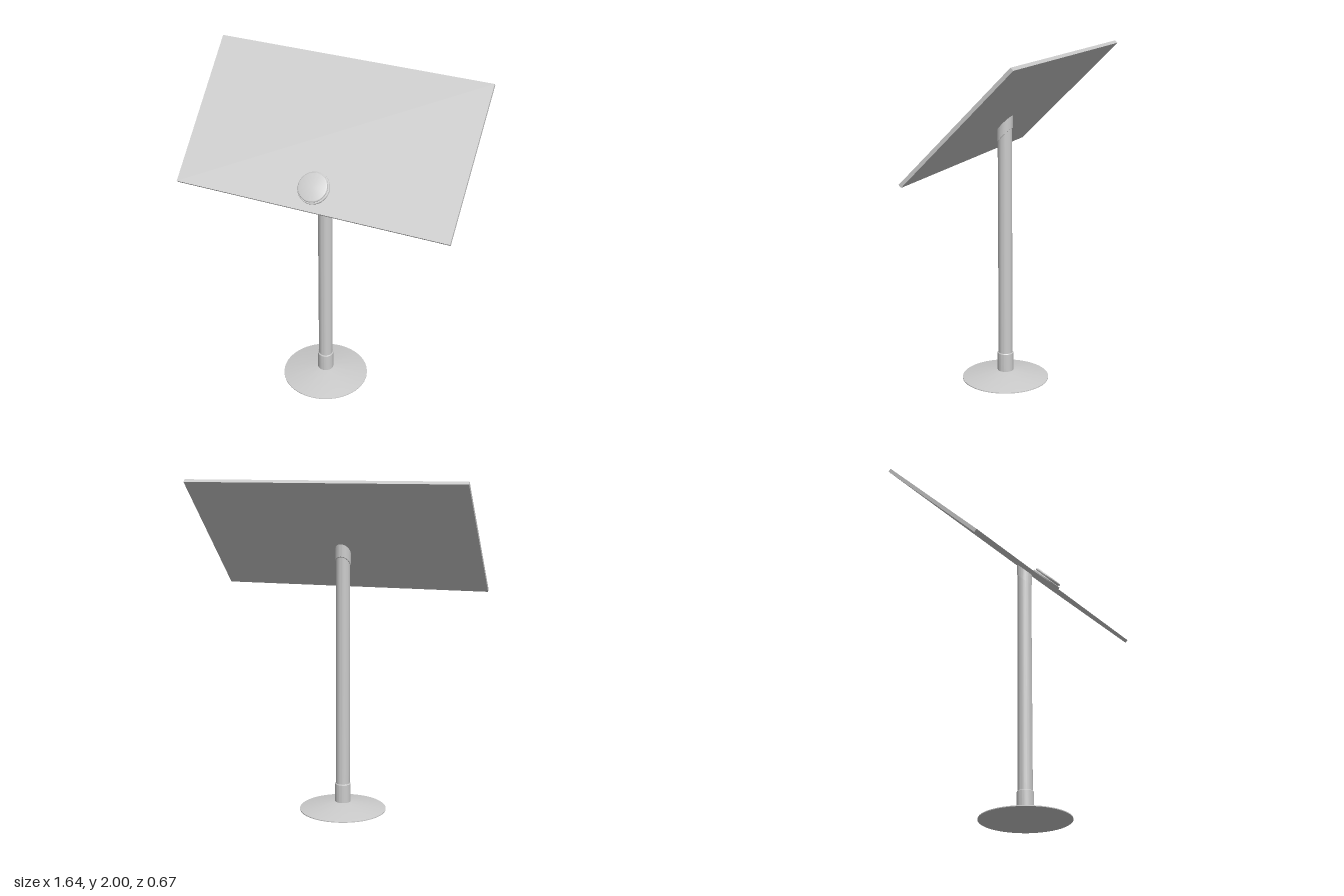
import * as THREE from 'three';
import { toCreasedNormals } from 'three/addons/utils/BufferGeometryUtils.js';

const POLE_Z = 0.072;
const SEGMENTS = 48;

export function createModel() {
  const model = new THREE.Group();
  const material = new THREE.MeshStandardMaterial({ color: 0xcccccc });

  function add(name, geometry, x, y, z, parent = model) {
    const mesh = new THREE.Mesh(geometry, material);
    mesh.name = name;
    mesh.position.set(x, y, z);
    parent.add(mesh);
    return mesh;
  }

  // Turned part from [radius, height] points, listed bottom to top
  function turned(points) {
    const profile = points.map(([r, y]) => new THREE.Vector2(r, y));
    return toCreasedNormals(new THREE.LatheGeometry(profile, SEGMENTS), 0.5);
  }

  // Shallow conical foot with a slightly dished underside
  add('base', turned([
    [0, 0], [0.1, 0.001], [0.175, 0.004], [0.262, 0.012], [0.262, 0.017], [0.05, 0.06], [0, 0.06],
  ]), 0, 0, POLE_Z);

  // Sleeve holding the pole
  add('baseSleeve', turned([
    [0, 0.05], [0.048, 0.05], [0.048, 0.171], [0.045, 0.175], [0, 0.175],
  ]), 0, 0, POLE_Z);

  // Pole and collar ends are sheared to match the 45 degree board
  const pole = new THREE.CylinderGeometry(0.042, 0.042, 1.46, SEGMENTS);
  const collar = new THREE.CylinderGeometry(0.046, 0.046, 0.076, SEGMENTS);
  const shear = (geometry, fromY) => {
    const p = geometry.attributes.position;
    for (let i = 0; i < p.count; i++) {
      if (p.getY(i) > fromY) p.setY(i, p.getY(i) - p.getZ(i));
    }
    return toCreasedNormals(geometry, 0.5);
  };
  add('pole', shear(pole, 0), 0, 0.85, POLE_Z);
  add('collar', shear(collar, -1), 0, 1.549, POLE_Z);

  // Tilted board assembly: local y is the board's normal
  const board = new THREE.Group();
  board.name = 'board';
  board.position.set(0, 1.677, -0.007);
  board.rotation.x = Math.PI / 4;
  model.add(board);
  add('panel', new THREE.BoxGeometry(1.636, 0.021, 0.904), 0, 0, 0, board);

  // Round button: wide flange, narrow groove and softly rounded cap
  add('button', turned([
    [0, 0], [0.09, 0], [0.093, 0.003], [0.093, 0.011], [0.09, 0.014], [0.079, 0.014],
    [0.079, 0.018], [0.084, 0.018], [0.086, 0.021], [0.086, 0.026], [0.083, 0.03], [0.077, 0.032], [0, 0.032],
  ]), 0, 0.01, 0.318, board);

  return model;
}
